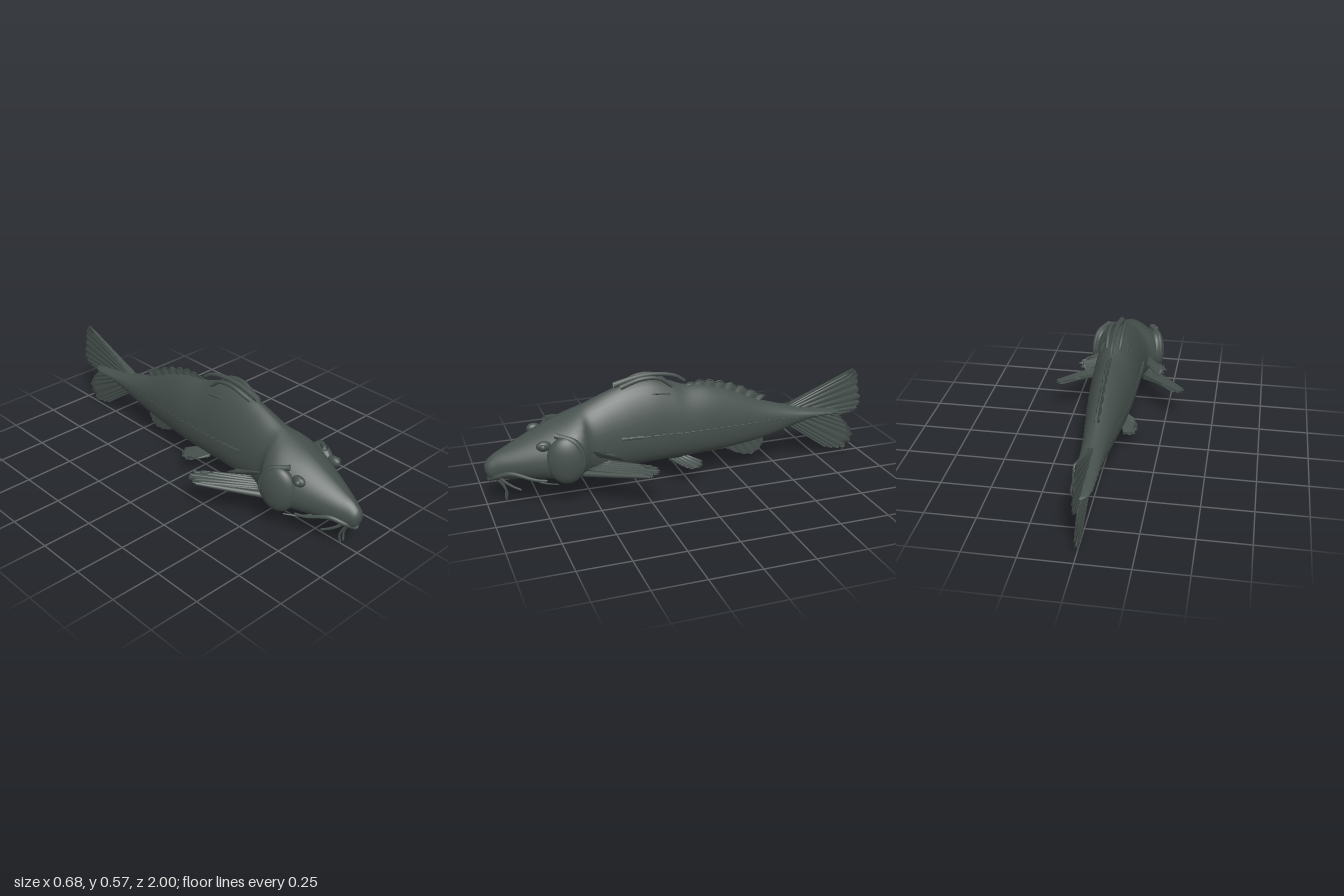
import * as THREE from 'three';

const skin = new THREE.MeshStandardMaterial({ color: 0x46504c, side: THREE.DoubleSide });
skin.name = 'dark slate skin';

const V = (p) => new THREE.Vector3(...p);
const curve = (pts) => new THREE.CatmullRomCurve3(pts.map(V), false, 'catmullrom', 0.5);

function add(group, name, geometry) {
  const mesh = new THREE.Mesh(geometry, skin);
  mesh.name = name;
  group.add(mesh);
  return mesh;
}

// Skin a list of closed rings and cap both ends
function loft(rings) {
  const n = rings[0].length, pos = [], index = [];
  rings.forEach((r) => r.forEach((p) => pos.push(p.x, p.y, p.z)));
  for (let i = 0; i < rings.length - 1; i++) {
    for (let j = 0; j < n; j++) {
      const a = i * n + j, b = i * n + (j + 1) % n;
      index.push(a, a + n, b, b, a + n, b + n);
    }
  }
  [0, rings.length - 1].forEach((i) => {
    const c = rings[i].reduce((s, p) => s.add(p), new THREE.Vector3()).divideScalar(n);
    const k = pos.length / 3;
    pos.push(c.x, c.y, c.z);
    for (let j = 0; j < n; j++) {
      const a = i * n + j, b = i * n + (j + 1) % n;
      index.push(...(i === 0 ? [k, a, b] : [k, b, a]));
    }
  });
  const g = new THREE.BufferGeometry();
  g.setAttribute('position', new THREE.Float32BufferAttribute(pos, 3));
  g.setIndex(index);
  g.computeVertexNormals();
  return g;
}

// Fin fanned from a base line to a tip line, rippled by its rays
function fin(base, tip, normal, rays, thick = 0.012, ragged = 0.06) {
  const b = curve(base), t = curve(tip), nrm = V(normal).normalize();
  const cols = rays * 6, rows = 8, rings = [];
  for (let r = 0; r <= rows; r++) {
    const v = r / rows, front = [], back = [];
    for (let c = 0; c <= cols; c++) {
      const u = c / cols, wave = Math.abs(Math.cos(u * rays * Math.PI));
      const reach = v * (1 - ragged * (1 - wave) * v);
      const p = b.getPoint(u).lerp(t.getPoint(u), reach);
      const h = thick * (1 - 0.65 * v) * (0.55 + 0.45 * wave) * 0.5;
      front.push(p.clone().addScaledVector(nrm, h));
      back.unshift(p.clone().addScaledVector(nrm, -h));
    }
    rings.push([...front, ...back]);
  }
  return loft(rings);
}

// Round rod that thins towards its end
function whisker(pts, r0, r1) {
  const path = curve(pts), segs = 24, sides = 8;
  const g = new THREE.TubeGeometry(path, segs, 1, sides);
  const p = g.attributes.position, v = new THREE.Vector3();
  for (let i = 0; i < p.count; i++) {
    const t = Math.floor(i / (sides + 1)) / segs, c = path.getPointAt(t);
    v.fromBufferAttribute(p, i).sub(c).multiplyScalar(r0 + (r1 - r0) * t).add(c);
    p.setXYZ(i, v.x, v.y, v.z);
  }
  return g;
}

// Body stations: z, top, bottom, height of widest line, half width
const stations = [
  [1.0, 0.212, 0.178, 0.195, 0.014], [0.985, 0.235, 0.145, 0.19, 0.034],
  [0.95, 0.262, 0.128, 0.195, 0.05], [0.9, 0.287, 0.13, 0.205, 0.073],
  [0.8, 0.337, 0.125, 0.215, 0.115], [0.7, 0.385, 0.115, 0.225, 0.152],
  [0.61, 0.42, 0.108, 0.235, 0.178], [0.55, 0.442, 0.108, 0.24, 0.168],
  [0.5, 0.462, 0.11, 0.25, 0.128], [0.4, 0.503, 0.113, 0.26, 0.116],
  [0.3, 0.535, 0.117, 0.265, 0.116], [0.18, 0.548, 0.12, 0.27, 0.115],
  [0.08, 0.525, 0.122, 0.27, 0.112], [0, 0.495, 0.122, 0.27, 0.108],
  [-0.12, 0.48, 0.126, 0.27, 0.098], [-0.25, 0.438, 0.133, 0.268, 0.083],
  [-0.4, 0.368, 0.15, 0.265, 0.066], [-0.5, 0.333, 0.17, 0.26, 0.058],
  [-0.6, 0.305, 0.2, 0.257, 0.054], [-0.7, 0.285, 0.228, 0.254, 0.053],
  [-0.8, 0.267, 0.235, 0.25, 0.049], [-0.85, 0.257, 0.237, 0.247, 0.036],
  [-0.875, 0.25, 0.24, 0.245, 0.012],
];

function bodyGeometry() {
  const heights = curve(stations.map(([z, t, b]) => [z, t, b]));
  const widths = curve(stations.map(([z, , , m, w]) => [z, m, w]));
  const rings = [], steps = 110, sides = 40;
  for (let i = 0; i <= steps; i++) {
    const { x: z, y: top, z: bottom } = heights.getPoint(i / steps);
    const { y: mid, z: w } = widths.getPoint(i / steps);
    const ring = [];
    for (let j = 0; j < sides; j++) {
      const a = (j / sides) * Math.PI * 2, c = Math.cos(a), s = Math.sin(a);
      const x = w * Math.sign(c) * Math.abs(c) ** (s > 0 ? 1.3 : 0.75);
      ring.push(new THREE.Vector3(x, mid + s * (s > 0 ? top - mid : mid - bottom), z));
    }
    rings.push(ring);
  }
  return loft(rings);
}

// Everything that comes in pairs; s = 1 for the left, -1 for the right
function sideParts(s) {
  const g = new THREE.Group();
  g.name = s > 0 ? 'leftSide' : 'rightSide';
  const m = (pts) => pts.map(([x, y, z]) => [x * s, y, z]);

  const gill = add(g, 'gillCover', new THREE.SphereGeometry(1, 28, 20));
  gill.scale.set(0.05, 0.118, 0.095);
  gill.position.set(0.146 * s, 0.24, 0.635);
  gill.rotation.y = 0.22 * -s;
  add(g, 'gillRim', whisker(m([[0.12, 0.36, 0.68], [0.168, 0.335, 0.6], [0.183, 0.25, 0.56],
    [0.165, 0.17, 0.58], [0.11, 0.112, 0.63]]), 0.014, 0.01));

  const brow = add(g, 'eyeSocket', new THREE.SphereGeometry(1, 20, 14));
  brow.scale.set(0.022, 0.026, 0.036);
  brow.position.set(0.12 * s, 0.315, 0.735);
  const eye = add(g, 'eye', new THREE.SphereGeometry(0.016, 16, 12));
  eye.position.set(0.135 * s, 0.315, 0.742);

  add(g, 'lip', whisker(m([[0, 0.135, 0.98], [0.045, 0.16, 0.945], [0.08, 0.178, 0.885],
    [0.118, 0.15, 0.79], [0.13, 0.14, 0.73]]), 0.014, 0.006));

  // Barbels
  add(g, 'chinBarbel', whisker(m([[0.012, 0.14, 0.955], [0.014, 0.105, 0.925],
    [0.015, 0.06, 0.905], [0.011, 0.018, 0.908]]), 0.007, 0.005));
  add(g, 'mouthBarbel', whisker(m([[0.045, 0.155, 0.94], [0.055, 0.13, 0.915],
    [0.065, 0.105, 0.88], [0.077, 0.088, 0.845]]), 0.008, 0.005));
  add(g, 'jawBarbel', whisker(m([[0.05, 0.135, 0.8], [0.1, 0.118, 0.74], [0.152, 0.124, 0.68]]), 0.007, 0.003));

  // Paired fins
  add(g, 'pectoralFin', fin(m([[0.13, 0.155, 0.54], [0.12, 0.165, 0.48], [0.105, 0.175, 0.42]]),
    m([[0.325, 0.178, 0.305], [0.342, 0.186, 0.28], [0.33, 0.195, 0.235], [0.285, 0.2, 0.235], [0.225, 0.2, 0.3]]),
    [0, 1, 0.12], 7, 0.03));
  add(g, 'pectoralSpine', whisker(m([[0.13, 0.15, 0.55], [0.23, 0.165, 0.425], [0.335, 0.182, 0.29]]), 0.016, 0.008));
  add(g, 'shoulderFin', fin(m([[0.12, 0.255, 0.52], [0.115, 0.24, 0.5], [0.115, 0.22, 0.48]]),
    m([[0.2, 0.265, 0.42], [0.24, 0.245, 0.38], [0.2, 0.215, 0.36]]), [0.5, 0.6, 0.6], 4, 0.014, 0.2));
  add(g, 'pelvicFin', fin(m([[0.06, 0.128, 0.1], [0.055, 0.125, 0.05], [0.05, 0.128, 0]]),
    m([[0.115, 0.115, 0.06], [0.135, 0.095, 0.01], [0.12, 0.09, -0.05], [0.075, 0.1, -0.075]]),
    [0.5, 1, 0], 5, 0.016));

  // Side spine of the dorsal fin
  add(g, 'dorsalSideSpine', whisker(m([[0.018, 0.52, 0.33], [0.033, 0.556, 0.23],
    [0.035, 0.55, 0.14], [0.032, 0.5, 0.07]]), 0.013, 0.008));
  add(g, 'dorsalSideRay', whisker(m([[0.04, 0.48, 0.25], [0.06, 0.485, 0.16], [0.065, 0.478, 0.09]]), 0.01, 0.006));

  // Backward pointing scutes along the flank
  for (let i = 0; i < 30; i++) {
    const t = i / 29, z = 0.33 - 1.13 * t;
    const k = stations.findIndex((st) => st[0] <= z);
    const [z0, , , , w0] = stations[k - 1], [z1, , , , w1] = stations[k];
    const w = w0 + (w1 - w0) * (z - z0) / (z1 - z0);
    const size = i < 3 ? 0.02 : 0.013 - 0.006 * t;
    const scute = add(g, 'scute', new THREE.ConeGeometry(size * 0.75, size * 2.4, 6));
    scute.position.set((w - 0.001) * s, 0.292 - 0.045 * t, z);
    scute.rotation.set(-Math.PI / 2, 0, -0.3 * s, 'YXZ');
  }
  return g;
}

export function createModel() {
  const model = new THREE.Group();
  model.name = 'catfish';
  add(model, 'body', bodyGeometry());

  // Dorsal spine with the gap below its free end
  add(model, 'dorsalSpine', whisker([[0, 0.53, 0.36], [0, 0.558, 0.24], [0, 0.562, 0.14],
    [0, 0.545, 0.05], [0, 0.512, -0.005]], 0.016, 0.008));
  add(model, 'rearDorsalFin', fin([[0, 0.475, 0.03], [0, 0.45, -0.12], [0, 0.41, -0.25], [0, 0.35, -0.4]],
    [[0, 0.492, 0.02], [0, 0.505, -0.12], [0, 0.462, -0.28], [0, 0.38, -0.445]], [1, 0, 0], 8, 0.034, 0.22));
  add(model, 'analFin', fin([[0, 0.145, -0.18], [0, 0.165, -0.3], [0, 0.185, -0.42]],
    [[0, 0.122, -0.22], [0, 0.075, -0.31], [0, 0.066, -0.38], [0, 0.1, -0.43], [0, 0.165, -0.445]],
    [1, 0, 0], 6, 0.024));

  // Forked tail
  add(model, 'upperTailLobe', fin([[0, 0.305, -0.55], [0, 0.28, -0.57], [0, 0.25, -0.6], [0, 0.235, -0.68]],
    [[0, 0.467, -0.945], [0, 0.44, -0.972], [0, 0.37, -0.982], [0, 0.29, -1.0], [0, 0.235, -0.975], [0, 0.21, -0.875]],
    [1, 0, 0], 9, 0.026, 0.04));
  add(model, 'lowerTailLobe', fin([[0, 0.205, -0.57], [0, 0.22, -0.61], [0, 0.24, -0.68], [0, 0.245, -0.78]],
    [[0, 0.04, -0.8], [0, 0.022, -0.87], [0, 0.025, -0.93], [0, 0.085, -0.968], [0, 0.14, -0.945], [0, 0.21, -0.885]],
    [1, 0, 0], 8, 0.026, 0.05));
  add(model, 'tailThread', whisker([[0, 0.05, -0.9], [0, 0.025, -0.91], [0, 0.003, -0.912]], 0.005, 0.003));

  model.add(sideParts(1), sideParts(-1));
  return model;
}
